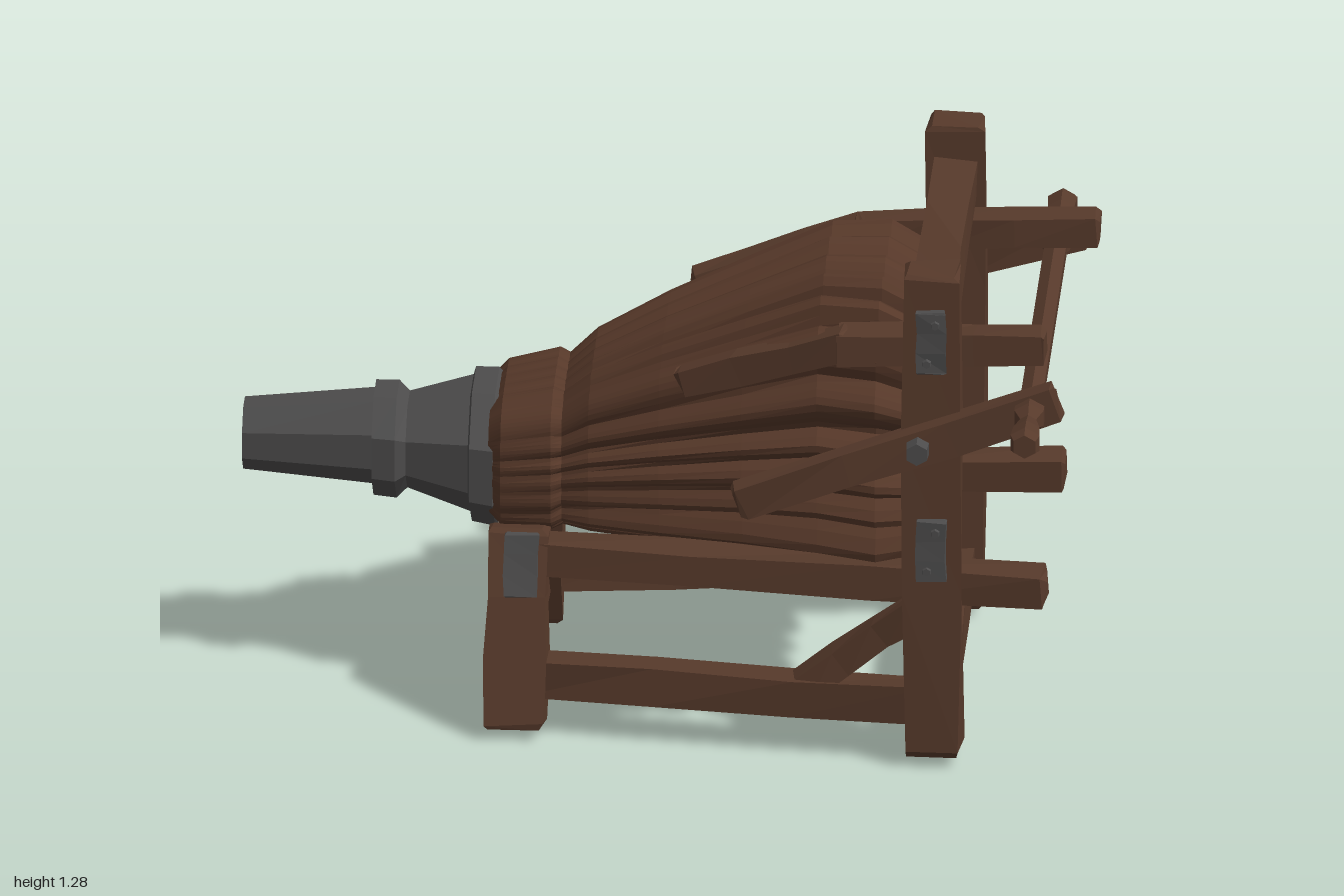
import * as THREE from 'three';

const flat = (name, color) => {
  const m = new THREE.MeshStandardMaterial({ color, flatShading: true });
  m.name = name;
  return m;
};
const wood = flat('wood', 0x573a2b);
const leather = flat('leather', 0x563829);
const iron = flat('iron', 0x4d4c4c);

const V = (x, y, z) => new THREE.Vector3(x, y, z);

// Small repeatable unevenness, the same for coincident vertices
const hash = (x, y, z, k) => {
  const s = Math.sin(Math.round(x * 500) * 12.99 + Math.round(y * 500) * 78.23 + Math.round(z * 500) * 37.72 + k * 19.19) * 43758.55;
  return (s - Math.floor(s)) - 0.5;
};

export function createModel() {
  const model = new THREE.Group();
  model.name = 'forgeBellows';
  const body = new THREE.Group();
  body.name = 'bellowsBody';
  body.position.z = 0.047;
  body.rotation.y = 0.055;
  model.add(body);

  const add = (name, geo, mat) => {
    const mesh = new THREE.Mesh(geo, mat);
    mesh.name = name;
    body.add(mesh);
    return mesh;
  };

  // Chamfered, slightly hewn beam between two points: w sideways, h upwards
  const beam = (name, a, b, w, h, mat = wood, rough = 0.012, bevel = 0.01) => {
    const dir = b.clone().sub(a), len = dir.length();
    dir.normalize();
    const c = Math.min(bevel, w / 4, h / 4), x = w / 2 - c, y = h / 2 - c;
    const shape = new THREE.Shape([[-x, -y], [x, -y], [x, y], [-x, y]].map(p => new THREE.Vector2(...p)));
    const geo = new THREE.ExtrudeGeometry(shape, { depth: len - 2 * c, steps: 3, bevelSize: c, bevelThickness: c, bevelSegments: 1 });
    geo.translate(0, 0, c);
    const ref = Math.abs(dir.y) > 0.8 ? V(1, 0, 0) : V(0, 1, 0);
    const side = ref.cross(dir).normalize();
    geo.applyMatrix4(new THREE.Matrix4().makeBasis(side, dir.clone().cross(side), dir).setPosition(a));
    const p = geo.attributes.position;
    for (let i = 0; i < p.count; i++) {
      const q = [p.getX(i), p.getY(i), p.getZ(i)];
      p.setXYZ(i, ...q.map((v, k) => v + rough * hash(...q, k)));
    }
    geo.computeVertexNormals();
    return add(name, geo, mat);
  };

  // Skin over cross-sections [x, bottom, top, half width, pleat depth]
  const loft = (name, rows, sides, mat, start = 0) => {
    const pos = [], index = [];
    rows.forEach(([x, y0, y1, hz, depth = 0]) => {
      for (let j = 0; j < sides; j++) {
        const a = start + (j / sides) * Math.PI * 2, c = Math.cos(a), s = Math.sin(a);
        const fold = 1 - Math.abs(Math.sin(11 * a + 0.5 * Math.sin(3 * a + 1) + 0.35 * Math.sin(5 * a + 2 * x)));
        const r = (1 - depth * fold * (1 + 0.4 * Math.sin(7 * a))) / Math.pow(c ** 4 + s ** 4, 0.25);
        pos.push(x, (y0 + y1) / 2 + s * r * (y1 - y0) / 2, c * r * hz);
      }
    });
    for (let i = 0; i < rows.length - 1; i++) {
      for (let j = 0; j < sides; j++) {
        const k = (j + 1) % sides, a = i * sides + j, d = i * sides + k;
        index.push(a, a + sides, d + sides, a, d + sides, d);
      }
    }
    const geo = new THREE.BufferGeometry();
    geo.setAttribute('position', new THREE.Float32BufferAttribute(pos, 3));
    geo.setIndex(index);
    geo.computeVertexNormals();
    return add(name, geo, mat);
  };

  // Pleated leather bag with gathered neck and bulging back
  loft('pleatedBag', [
    [-0.41, 0.45, 0.72, 0.18], [-0.38, 0.42, 0.75, 0.205, 0.02], [-0.26, 0.42, 0.78, 0.222, 0.04],
    [-0.235, 0.43, 0.77, 0.21, 0.07], [-0.17, 0.42, 0.83, 0.24, 0.1], [0, 0.41, 0.92, 0.29, 0.12],
    [0.2, 0.4, 1.01, 0.34, 0.13], [0.38, 0.38, 1.09, 0.38, 0.14], [0.52, 0.37, 1.09, 0.41, 0.15],
    [0.59, 0.39, 1.05, 0.4, 0.16], [0.615, 0.48, 0.96, 0.32, 0.12], [0.635, 0.6, 0.85, 0.19, 0.05],
    [0.64, 0.72, 0.72, 0],
  ], 132, leather);

  // Iron nozzle with hollow tip, middle ring and rear collar
  loft('nozzle', [
    [-0.92, 0.59, 0.59, 0], [-0.92, 0.55, 0.63, 0.04], [-1, 0.545, 0.635, 0.045], [-1, 0.51, 0.67, 0.077],
    [-0.69, 0.485, 0.7, 0.1], [-0.69, 0.46, 0.715, 0.125], [-0.635, 0.455, 0.715, 0.13],
    [-0.61, 0.48, 0.69, 0.115], [-0.46, 0.43, 0.73, 0.155], [-0.455, 0.41, 0.745, 0.185],
    [-0.4, 0.4, 0.745, 0.19], [-0.385, 0.42, 0.73, 0.18], [-0.385, 0.58, 0.58, 0],
  ], 8, iron, Math.PI / 8);

  for (const s of [1, -1]) {
    const side = s > 0 ? 'left' : 'right';
    const n = part => `${part}${s > 0 ? 'Front' : 'Back'}Side`;

    // Upright posts and splayed nozzle legs
    beam(n('post'), V(0.66, 0.01, s * 0.425), V(0.66, 1.26, s * 0.425), 0.105, 0.135);
    beam(n('leg'), V(-0.335, 0, s * 0.335), V(-0.335, 0.46, s * 0.205), 0.115, 0.145);

    // Rails below and above the bag, running past the posts
    beam(n('lowerRail'), V(-0.34, 0.4, s * 0.225), V(0.925, 0.4, s * 0.335), 0.085, 0.08);
    const end = s > 0 ? 0.925 : 1.01;
    beam(n('upperRail'), V(0.42, 1.01, s * 0.325), V(end, 1.03, s * 0.337), 0.075, 0.075);
    beam(n('upperRailFront'), V(0.05, 0.88, s * 0.275), V(0.46, 1.02, s * 0.328), 0.06, 0.07);

    // Ground stretcher and diagonal brace
    beam(n('stretcher'), V(-0.335, 0.12, s * 0.3), V(0.66, 0.13, s * 0.42), 0.08, 0.095);
    beam(n('brace'), V(0.34, 0.14, s * 0.385), V(0.64, 0.38, s * 0.41), 0.06, 0.075);

    // Pumping lever with its pivot bolt
    const front = s > 0 ? V(0.2, 0.675, 0.508) : V(0.04, 0.69, -0.508);
    beam(n('lever'), front, V(0.965, 0.955, s * 0.488), 0.055, 0.085);
    const bolt = add(n('pivotBolt'), new THREE.CylinderGeometry(0.028, 0.032, 0.05, 6), iron);
    bolt.rotation.x = Math.PI / 2;
    bolt.position.set(0.63, 0.835, s * 0.535);

    // Iron straps with rivets on post and leg
    for (const y of [1.095, 0.555]) {
      beam(n('postStrap'), V(0.66, y - 0.08, s * 0.485), V(0.66, y + 0.08, s * 0.485), 0.024, 0.07, iron, 0.006, 0.004);
      for (const d of [-0.05, 0.05]) {
        const rivet = add(n('rivet'), new THREE.CylinderGeometry(0.01, 0.012, 0.012, 6), iron);
        rivet.rotation.x = Math.PI / 2;
        rivet.position.set(0.66 + d * 0.2, y + d, s * 0.5);
      }
    }
    beam(n('legStrap'), V(-0.325, 0.32, s * 0.306), V(-0.325, 0.47, s * 0.264), 0.02, 0.08, iron, 0.006, 0.004);
  }

  // Cross pieces joining both sides
  beam('topCrossbar', V(0.66, 1.125, -0.4), V(0.66, 1.125, 0.4), 0.105, 0.105);
  beam('rearCrossbar', V(0.66, 0.122, -0.4), V(0.66, 0.122, 0.4), 0.09, 0.085);
  beam('frontCrossbar', V(-0.335, 0.12, -0.3), V(-0.335, 0.12, 0.3), 0.08, 0.08);
  beam('nozzleRest', V(-0.335, 0.4, -0.23), V(-0.335, 0.4, 0.23), 0.1, 0.075);

  // Pull bar with flared grips
  const half = [[0.03, 0], [0.03, 0.44], [0.04, 0.47], [0.04, 0.54], [0.022, 0.57], [0.036, 0.63], [0.04, 0.68], [0.03, 0.705], [0, 0.705]];
  const profile = [...half.slice(1).reverse().map(([r, y]) => new THREE.Vector2(r, -y)), ...half.map(([r, y]) => new THREE.Vector2(r, y))];
  const bar = add('pullBar', new THREE.LatheGeometry(profile, 6), wood);
  bar.rotation.x = Math.PI / 2;
  bar.position.set(0.895, 0.93, 0);

  return model;
}
